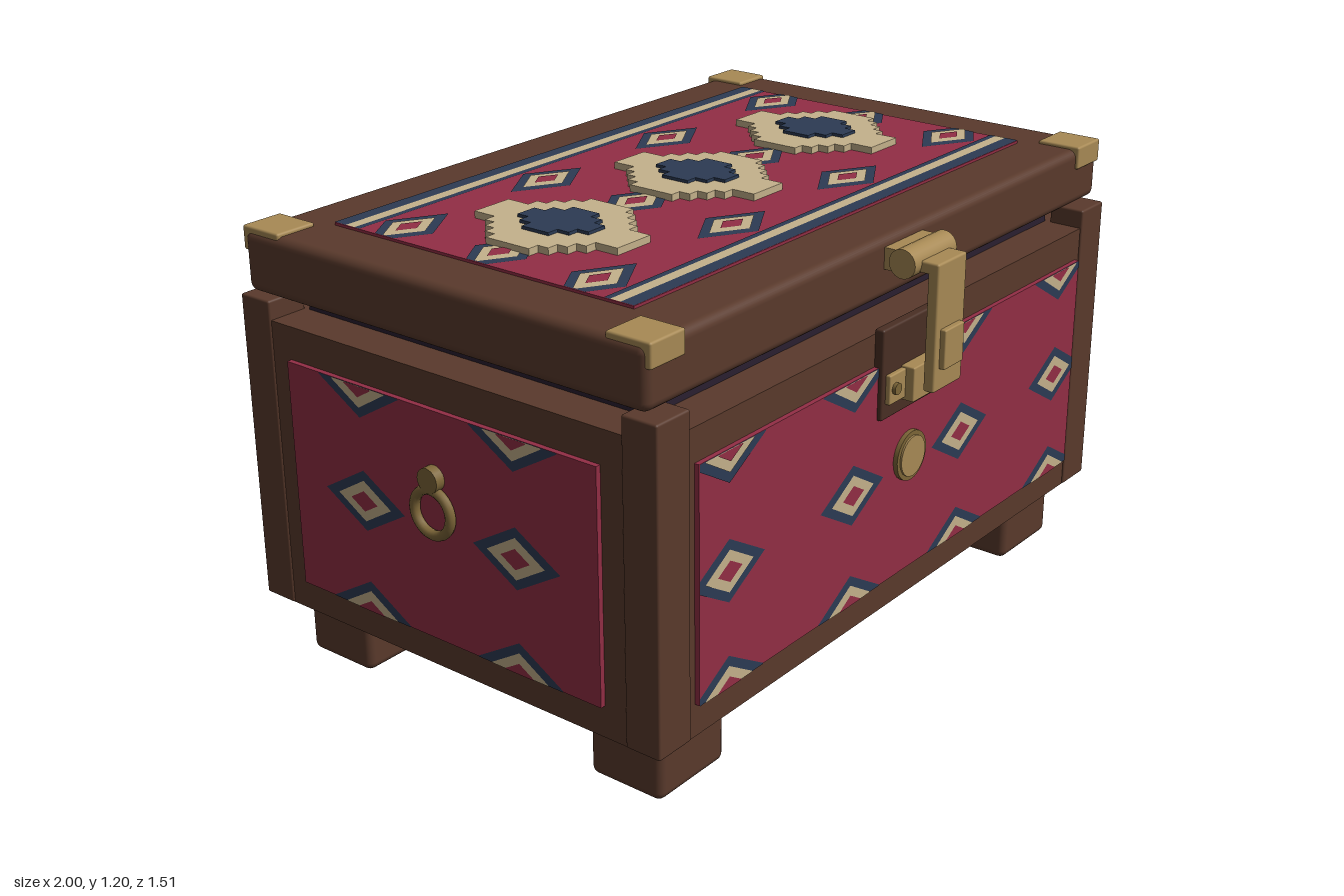
import * as THREE from 'three';
import { RoundedBoxGeometry } from 'three/addons/geometries/RoundedBoxGeometry.js';

const mat = (name, color, extra = {}) => {
  const m = new THREE.MeshStandardMaterial({ color, ...extra });
  m.name = name;
  return m;
};

export function createModel() {
  const wood = mat('wood', 0x5a3a2c);
  const darkWood = mat('dark wood', 0x4a2f24);
  const brass = mat('brass', 0xa88a55);
  const oldBrass = mat('old brass', 0x7d6638);
  const red = mat('red cloth', 0x932e45);
  const navy = mat('navy cloth', 0x2c3b54);
  const cream = mat('cream cloth', 0xc5b28c);
  const lining = mat('lining', 0x2a2030);

  const model = new THREE.Group();
  model.name = 'chest';
  model.position.set(0.011, 0, -0.024);

  const add = (name, geo, material, parent = model) => {
    const m = new THREE.Mesh(geo, material);
    m.name = name;
    parent.add(m);
    return m;
  };
  // Box given by its extents; a radius rounds its edges
  const box = (name, material, x0, x1, y0, y1, z0, z1, r = 0) => {
    const s = [Math.abs(x1 - x0), y1 - y0, Math.abs(z1 - z0)];
    const geo = r ? new RoundedBoxGeometry(...s, 3, r) : new THREE.BoxGeometry(...s);
    const m = add(name, geo, material);
    m.position.set((x0 + x1) / 2, (y0 + y1) / 2, (z0 + z1) / 2);
    return m;
  };
  const rod = (name, material, r, length, x, y, z, axis) => {
    const m = add(name, new THREE.CylinderGeometry(r, r, length, 24), material);
    m.position.set(x, y, z);
    if (axis === 'x') m.rotation.z = Math.PI / 2;
    if (axis === 'z') m.rotation.x = Math.PI / 2;
    return m;
  };

  // Body, base and lining
  box('body', wood, -0.97, 0.97, 0.18, 0.95, -0.647, 0.647);
  box('base', wood, -0.9, 0.9, 0.15, 0.19, -0.553, 0.553);
  box('lining', lining, -0.861, 0.861, 0.94, 1.0, -0.538, 0.538);

  // Corner posts, feet and lid corner caps
  for (const sx of [-1, 1]) for (const sz of [-1, 1]) {
    box('cornerPost', wood, sx * 0.861, sx * 0.975, 0.18, 1.0, sz * 0.553, sz * 0.652, 0.006);
    box('foot', wood, sx * 0.65, sx * 0.895, 0, 0.168, sz * 0.372, sz * 0.587, 0.022);
    box('cornerCap', brass, sx * 0.85, sx * 0.968, 1.115, 1.177, sz * 0.508, sz * 0.632, 0.006);
  }

  // Lid
  box('lid', wood, -0.975, 0.975, 1.013, 1.168, -0.624, 0.624, 0.024);

  // Diamond cut off at the panel edges
  const diamond = (cx, cy, hw, hh, W, H) => {
    let pts = [[cx + hw, cy], [cx, cy + hh], [cx - hw, cy], [cx, cy - hh]];
    for (const [axis, sign, lim] of [[0, 1, W], [0, -1, W], [1, 1, H], [1, -1, H]]) {
      const out = [];
      pts.forEach((a, i) => {
        const b = pts[(i + 1) % pts.length];
        const da = lim - sign * a[axis], db = lim - sign * b[axis];
        if (da >= 0) out.push(a);
        if (da * db < 0) {
          const t = da / (da - db);
          out.push([a[0] + t * (b[0] - a[0]), a[1] + t * (b[1] - a[1])]);
        }
      });
      pts = out;
    }
    return new THREE.ShapeGeometry(new THREE.Shape(pts.map(p => new THREE.Vector2(...p))));
  };

  // Cloth panel facing local +z, with woven diamonds in three rings
  const rings = [[navy, 0.134, 0.08], [cream, 0.089, 0.054], [red, 0.045, 0.027]];
  const clothPanel = (name, W, H, cols, clipH = H) => {
    const g = new THREE.Group();
    g.name = name;
    model.add(g);
    add('cloth', new THREE.BoxGeometry(2 * W, 2 * H, 0.016), red, g);
    for (const x of cols) for (const y of [-0.298, 0, 0.298])
      rings.forEach(([m, hw, hh], i) => {
        add('diamond', diamond(x, y, hw, hh, W, clipH), m, g).position.z = 0.0095 + i * 0.0015;
      });
    return g;
  };
  const four = [-0.735, -0.245, 0.245, 0.735], two = [-0.245, 0.245];
  clothPanel('frontCloth', 0.842, 0.3, four).position.set(0, 0.565, 0.652);
  const back = clothPanel('backCloth', 0.842, 0.3, four);
  back.position.set(0, 0.565, -0.652);
  back.rotation.y = Math.PI;
  for (const s of [-1, 1]) {
    const side = clothPanel('sideCloth', 0.49, 0.3, two);
    side.position.set(s * 0.976, 0.564, 0);
    side.rotation.y = s * Math.PI / 2;
  }

  // Lid cloth with border stripes
  const top = clothPanel('lidCloth', 0.816, 0.468, four, 0.385);
  top.position.set(0, 1.167, -0.006);
  top.rotation.x = -Math.PI / 2;
  for (const s of [-1, 1])
    for (const [m, a, b] of [[navy, 0.383, 0.4], [cream, 0.4, 0.43], [navy, 0.43, 0.468]])
      add('borderStripe', new THREE.PlaneGeometry(1.632, b - a), m, top)
        .position.set(0, s * (a + b) / 2, 0.0095);

  // Stepped medallions, each made from corner steps mirrored into four quarters
  const stepped = (steps, depth) => {
    const quarter = [];
    steps.forEach(([x, y], i) => {
      quarter.push([x, y]);
      if (i < steps.length - 1) quarter.push([x, steps[i + 1][1]]);
    });
    const rev = [...quarter].reverse();
    const pts = [...quarter, ...rev.map(([x, y]) => [x, -y]),
      ...quarter.map(([x, y]) => [-x, -y]), ...rev.map(([x, y]) => [-x, y])];
    return new THREE.ExtrudeGeometry(new THREE.Shape(pts.map(p => new THREE.Vector2(...p))),
      { depth, bevelEnabled: false });
  };
  const outer = stepped([[0.06, 0.226], [0.093, 0.16], [0.125, 0.13], [0.157, 0.1], [0.188, 0.068]], 0.022);
  const inner = stepped([[0.03, 0.112], [0.06, 0.078], [0.092, 0.042]], 0.03);
  for (const x of [-0.524, 0, 0.524]) {
    add('medallion', outer, cream, top).position.set(x, 0, 0.004);
    add('medallionCentre', inner, navy, top).position.set(x, 0, 0.004);
  }

  // Front hasp
  box('haspPlate', darkWood, -0.147, 0.147, 0.727, 0.963, 0.645, 0.672, 0.006);
  box('haspLowerPlate', brass, -0.132, 0.132, 0.768, 0.845, 0.67, 0.685, 0.004);
  box('haspKeeper', brass, -0.064, 0.064, 0.76, 0.85, 0.67, 0.709, 0.004);
  for (const s of [-1, 1]) rod('haspRivet', oldBrass, 0.015, 0.02, s * 0.108, 0.807, 0.684, 'z');
  box('haspMount', brass, -0.083, 0.083, 1.09, 1.145, 0.615, 0.66);
  rod('haspBarrel', brass, 0.037, 0.185, 0, 1.117, 0.68, 'x');
  box('haspArm', brass, -0.064, 0.064, 1.095, 1.125, 0.68, 0.764, 0.006);
  box('haspStrap', brass, -0.064, 0.064, 0.797, 1.12, 0.734, 0.764, 0.006);
  box('haspButton', brass, -0.043, 0.043, 0.855, 0.957, 0.76, 0.779, 0.004);

  // Front boss
  rod('bossRim', oldBrass, 0.066, 0.02, 0, 0.587, 0.662, 'z');
  rod('boss', brass, 0.054, 0.02, 0, 0.587, 0.667, 'z');

  // Rear hinges
  for (const s of [-1, 1]) {
    const x = s * 0.592;
    box('hingeTop', brass, x - 0.068, x + 0.068, 1.0, 1.097, -0.7, -0.6, 0.004);
    rod('hingeBarrel', brass, 0.039, 0.215, x, 1.0, -0.693, 'x');
    box('hingeLeaf', brass, x - 0.068, x + 0.068, 0.773, 0.99, -0.678, -0.64, 0.004);
  }

  // Ring pull on the side
  const ring = add('ringPull', new THREE.TorusGeometry(0.058, 0.013, 10, 32), oldBrass);
  ring.position.set(-0.997, 0.61, -0.005);
  ring.rotation.y = Math.PI / 2;
  rod('ringMount', oldBrass, 0.032, 0.026, -0.997, 0.695, -0.005, 'x');

  const root = new THREE.Group();
  root.name = 'woven chest';
  root.add(model);
  return root;
}
